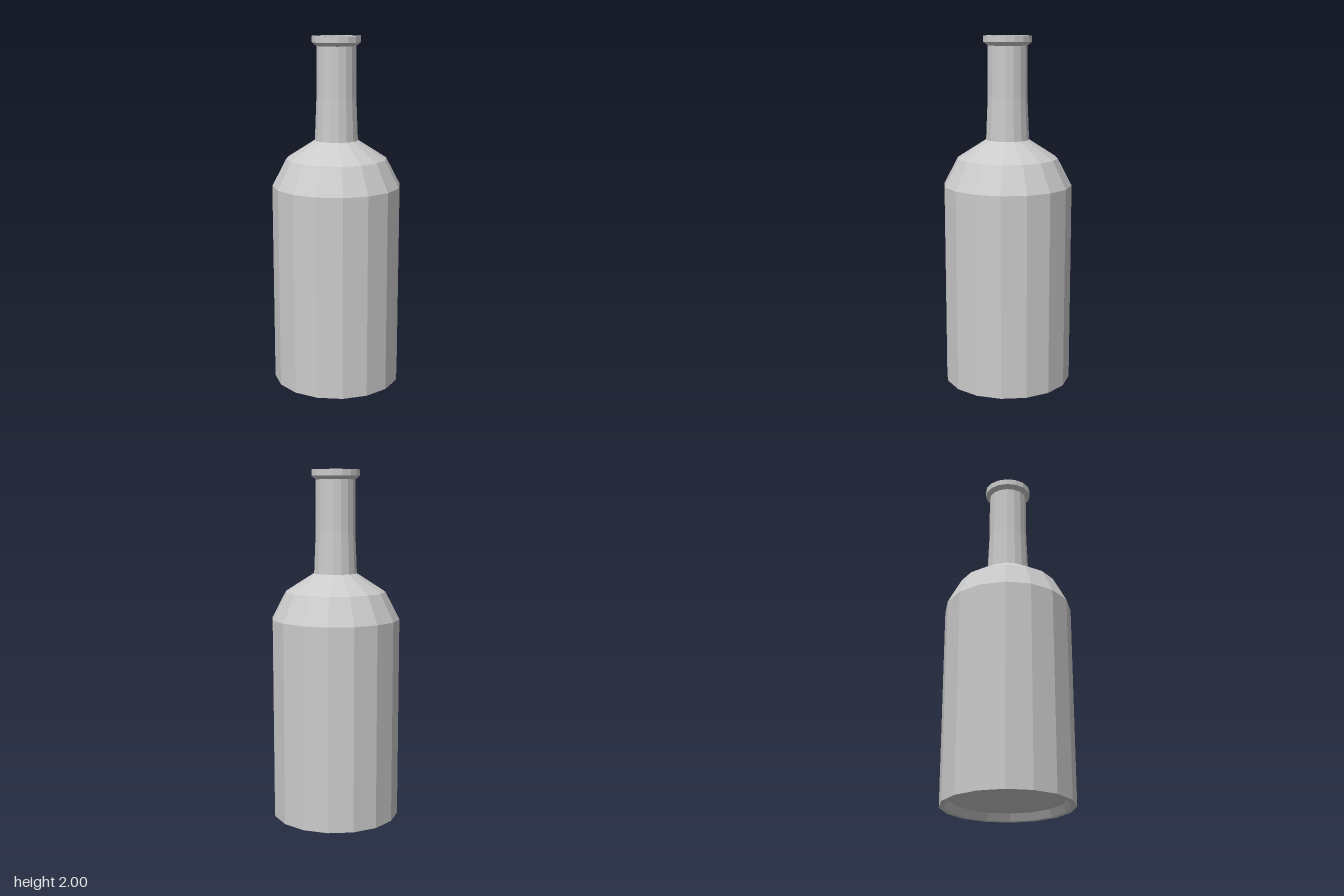
import * as THREE from 'three';

const SIDES = 16;

export function createModel() {
  const bottle = new THREE.Group();
  bottle.name = 'bottle';
  const glass = new THREE.MeshStandardMaterial({ color: 0xcccccc, flatShading: true });

  // Each part is a faceted ring swept from [radius, height] pairs
  const addPart = (name, profile) => {
    const points = profile.map(([r, y]) => new THREE.Vector2(r, y));
    const mesh = new THREE.Mesh(new THREE.LatheGeometry(points, SIDES), glass);
    mesh.name = name;
    bottle.add(mesh);
  };

  // Recessed underside and foot ring
  addPart('base', [[0, 0.04], [0.315, 0.04], [0.34, 0], [0.368, 0]]);

  // Straight wall and two-step shoulder
  addPart('body', [[0.368, 0], [0.368, 1.16], [0.287, 1.315], [0.123, 1.42]]);

  // Neck, flared slightly at its foot
  addPart('neck', [[0.123, 1.42], [0.113, 1.66], [0.112, 1.945]]);

  // Bevelled lip with a shallow closed mouth
  addPart('lip', [[0.112, 1.945], [0.137, 1.965], [0.137, 2], [0.113, 2], [0.113, 1.945], [0, 1.945]]);

  return bottle;
}
